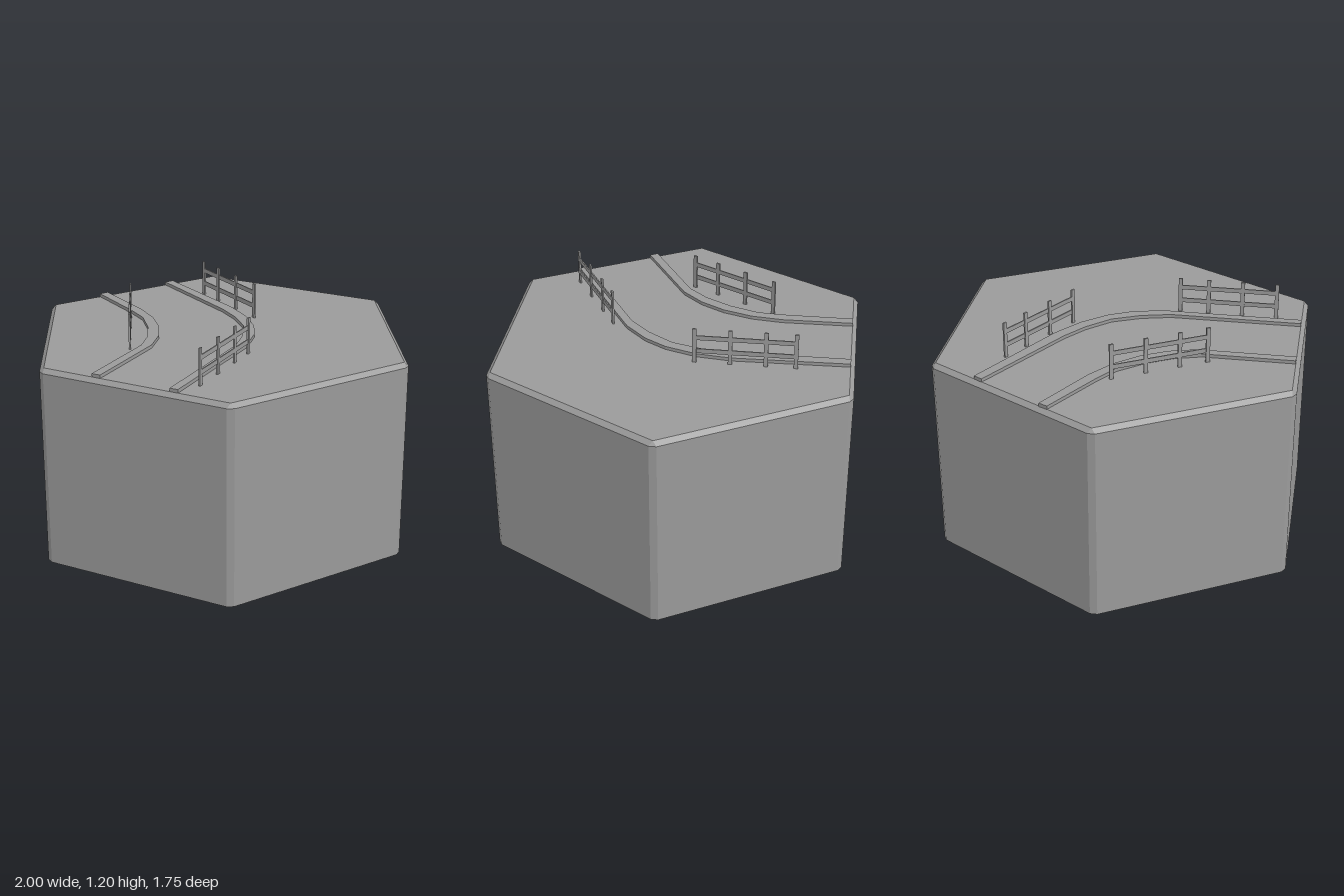
import * as THREE from 'three';
import { ConvexGeometry } from 'three/addons/geometries/ConvexGeometry.js';

const material = new THREE.MeshStandardMaterial({ color: 0x9a9a9a, flatShading: true });
const TOP = 1.013;

function addMesh(parent, name, geometry) {
  const mesh = new THREE.Mesh(geometry, material);
  mesh.name = name;
  parent.add(mesh);
  return mesh;
}

// Hexagonal block with clipped vertical corners and a bevelled top rim
function hexBlock() {
  const points = [];
  for (let i = 0; i < 6; i++) {
    const a = (i * Math.PI) / 3;
    const at = (r, side, y) => new THREE.Vector3(
      r * Math.cos(a) - side * Math.sin(a), y, r * Math.sin(a) + side * Math.cos(a));
    for (const s of [-0.018, 0.018]) points.push(at(1, s, 0), at(1, s, 0.992));
    points.push(at(0.985, 0, TOP));
  }
  return new ConvexGeometry(points);
}

// Raised kerb from a closed plan outline of [x, z] points
function kerb(outline) {
  const shape = new THREE.Shape(outline.map(([x, z]) => new THREE.Vector2(x, -z)));
  const geometry = new THREE.ExtrudeGeometry(shape, { depth: 0.024, bevelEnabled: false });
  geometry.rotateX(-Math.PI / 2);
  geometry.translate(0, 1.006, 0);
  return geometry;
}

// Four-post, two-rail fence running from one [x, z] point to another
function fence(name, [x0, z0], [x1, z1]) {
  const group = new THREE.Group();
  group.name = name;
  const length = Math.hypot(x1 - x0, z1 - z0);
  group.position.set(x0, 0, z0);
  group.rotation.y = Math.atan2(z0 - z1, x1 - x0);
  for (const t of [0, 0.353, 0.705, 1]) {
    const post = addMesh(group, 'fencePost', new THREE.BoxGeometry(0.02, 0.19, 0.009));
    post.position.set(t * length, 1.1, 0);
  }
  for (const y of [1.076, 1.147]) {
    const rail = addMesh(group, 'fenceRail', new THREE.BoxGeometry(length, 0.023, 0.006));
    rail.position.set(length / 2, y, 0);
  }
  return group;
}

export function createModel() {
  const model = new THREE.Group();
  model.name = 'hexRoadTile';
  addMesh(model, 'hexBlock', hexBlock());

  // Kerbs on either side of the curving road
  addMesh(model, 'outerKerb', kerb([
    [0.227, 0.853], [0.227, 0.15], [0.19, -0.005], [0.13, -0.122], [0.022, -0.245],
    [-0.115, -0.348], [-0.623, -0.628],
    [-0.648, -0.586], [-0.14, -0.294], [-0.024, -0.208], [0.083, -0.096],
    [0.147, 0.043], [0.184, 0.193], [0.184, 0.853],
  ]));
  addMesh(model, 'innerKerb', kerb([
    [-0.182, 0.853], [-0.182, 0.375], [-0.222, 0.235], [-0.29, 0.112], [-0.393, -0.005],
    [-0.52, -0.1], [-0.83, -0.273],
    [-0.853, -0.23], [-0.548, -0.053], [-0.44, 0.02], [-0.34, 0.14],
    [-0.265, 0.273], [-0.227, 0.4], [-0.227, 0.853],
  ]));

  // Roadside fences
  model.add(fence('backFence', [0.048, -0.287], [-0.375, -0.534]));
  model.add(fence('innerFence', [-0.518, 0.007], [-0.272, 0.433]));
  model.add(fence('frontFence', [0.271, 0.721], [0.271, 0.23]));
  return model;
}
